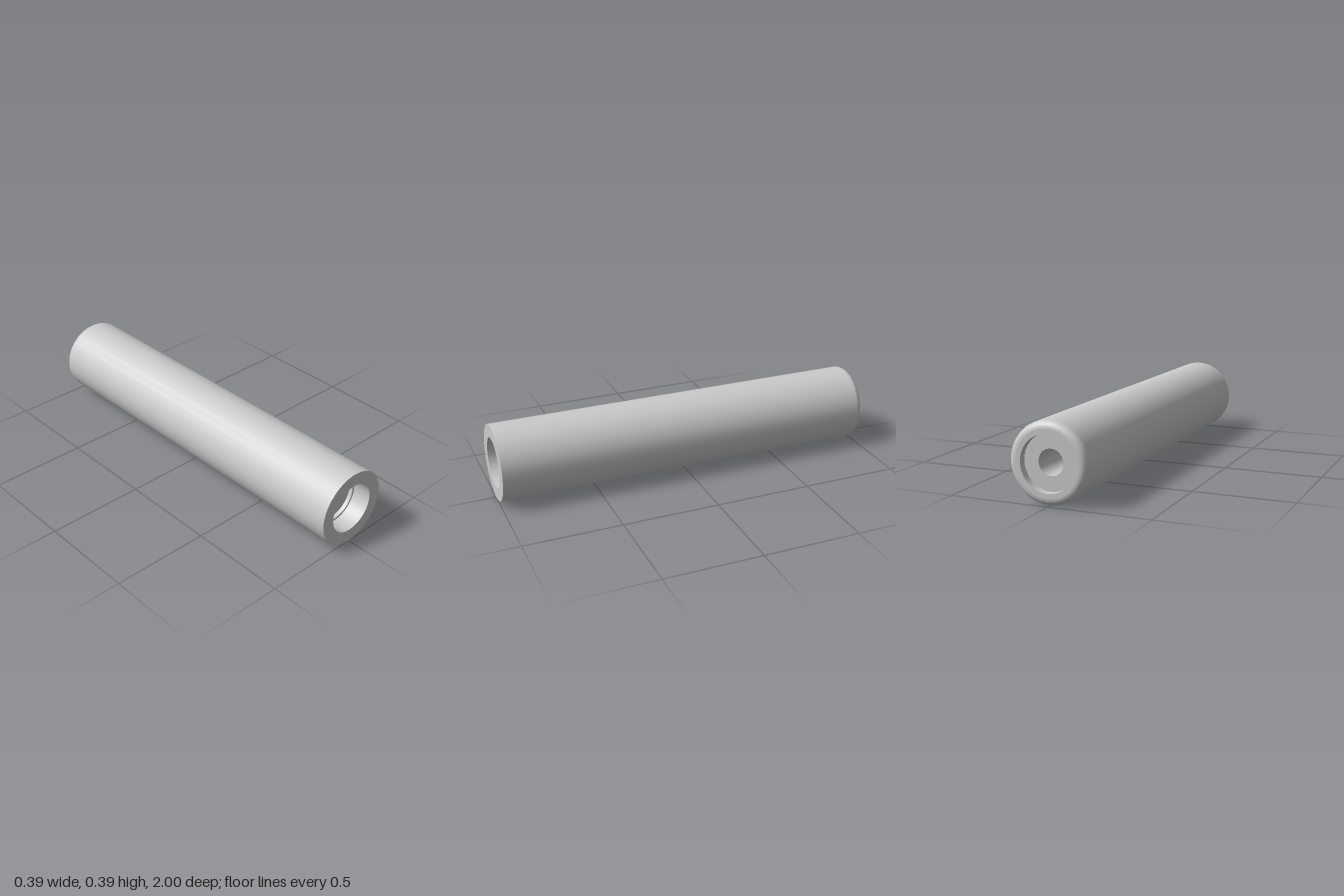
import * as THREE from 'three';

const R = 0.195, HALF = 1, BORE = 0.0625, FILLET = 0.035;
const SIDES = 30;

export function createModel() {
  const group = new THREE.Group();
  group.name = 'roller';
  const material = new THREE.MeshStandardMaterial({ color: 0xcccccc });

  // Each strip of the profile is revolved on its own, so corners between strips stay sharp.
  // Points are [radius, z], running counter-clockwise round the solid.
  function revolve(name, points) {
    const geometry = new THREE.LatheGeometry(points.map(([r, z]) => new THREE.Vector2(r, z)), SIDES);
    geometry.rotateX(Math.PI / 2);
    const mesh = new THREE.Mesh(geometry, material);
    mesh.name = name;
    mesh.position.y = R;
    group.add(mesh);
  }

  // Outer wall with a rounded back edge
  const wall = [];
  for (let i = 0; i <= 6; i++) {
    const a = (i / 6) * Math.PI / 2;
    wall.push([R - FILLET + FILLET * Math.sin(a), -HALF + FILLET - FILLET * Math.cos(a)]);
  }
  wall.push([R, HALF]);
  revolve('outerWall', wall);

  // Stepped front socket, through bore and shallow back recess
  const inside = [
    ['frontRim', R, HALF],
    ['frontSocketWall', 0.128, HALF],
    ['frontSocketStep', 0.128, 0.905],
    ['frontSocketInnerWall', 0.117, 0.905],
    ['frontSocketFloor', 0.117, 0.885],
    ['bore', BORE, 0.885],
    ['backRecessFloor', BORE, -0.96],
    ['backRecessWall', 0.135, -0.96],
    ['backRim', 0.135, -HALF],
    ['end', R - FILLET, -HALF],
  ];
  for (let i = 0; i < inside.length - 1; i++) {
    const [name, r, z] = inside[i];
    revolve(name, [[r, z], inside[i + 1].slice(1)]);
  }
  return group;
}
